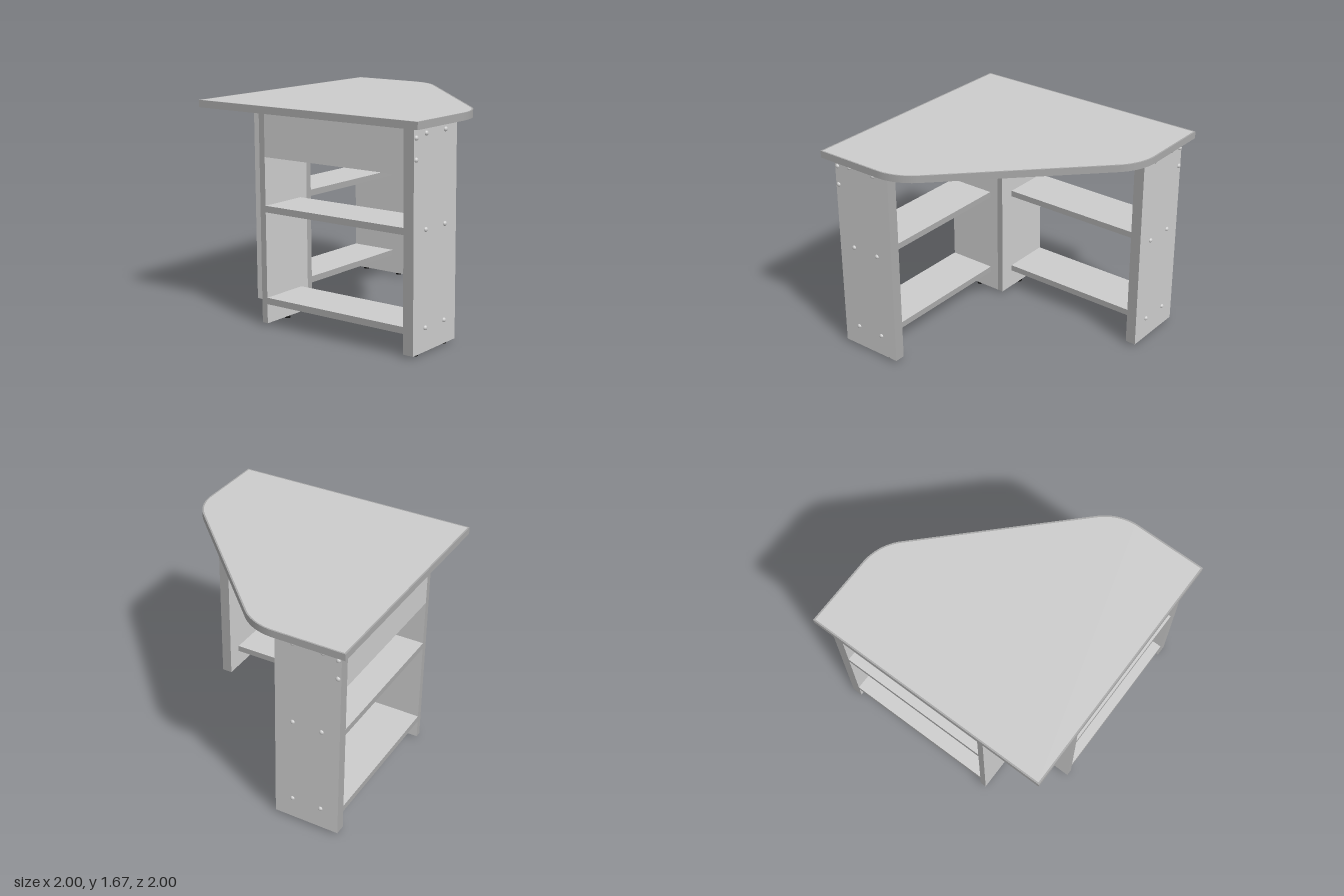
import * as THREE from 'three';

const face = new THREE.MeshStandardMaterial({ color: 0xcccccc });
const edge = new THREE.MeshStandardMaterial({ color: 0xa8a8a8 });
const rubber = new THREE.MeshStandardMaterial({ color: 0x111111 });

// Board from min/max corners; the faces across its thin axis are plain, the rest edge banding
function board(name, [x0, x1], [y0, y1], [z0, z1]) {
  const size = [x1 - x0, y1 - y0, z1 - z0];
  const thin = size.indexOf(Math.min(...size));
  const mats = [0, 0, 1, 1, 2, 2].map(axis => (axis === thin ? face : edge));
  const mesh = new THREE.Mesh(new THREE.BoxGeometry(...size), mats);
  mesh.position.set((x0 + x1) / 2, (y0 + y1) / 2, (z0 + z1) / 2);
  mesh.name = name;
  return mesh;
}

// Desktop outline: square back corner, diagonal front with two rounded ends
function outline(inset, Kind = THREE.Shape) {
  const s = new Kind(), e = 1 - inset, r = 0.42, c = 1 - r, d = -0.44;
  s.moveTo(-e, -e);
  s.lineTo(e, -e);
  s.lineTo(e, d);
  s.absarc(c, d, r - inset, 0, Math.PI / 4, false);
  s.absarc(d, c, r - inset, Math.PI / 4, Math.PI / 2, false);
  s.lineTo(-e, e);
  s.closePath();
  return s;
}

function slab(name, shape, mats) {
  const geo = new THREE.ExtrudeGeometry(shape, { depth: 0.055, bevelEnabled: false, curveSegments: 16 });
  geo.rotateX(Math.PI / 2);
  const mesh = new THREE.Mesh(geo, mats);
  mesh.position.y = 1.675;
  mesh.name = name;
  return mesh;
}

// One wing of the desk; swapped exchanges x and z for the other wing
function wing(name, swapped) {
  const g = new THREE.Group();
  g.name = name;
  const add = (part, a, y, b) => g.add(swapped ? board(part, b, y, a) : board(part, a, y, b));
  const depth = [-0.935, -0.41];

  add('endPanel', [0.84, 0.925], [0.02, 1.62], depth);
  // The two corner panels meet in an L
  add('cornerPanel', [-0.46, -0.41], [0.02, 1.62], [-0.935, swapped ? -0.46 : -0.41]);
  add('modestyPanel', [-0.41, 0.84], [1.29, 1.62], [-0.935, -0.885]);
  for (const y of [0.195, 0.9]) add('shelf', [-0.41, 0.84], [y - 0.025, y + 0.025], [-0.935, -0.535]);

  // Domed screw heads on the outer face of the end panel
  const heads = [[1.55, -0.91], [1.4, -0.91]];
  for (const y of [0.195, 0.9, 1.57]) for (const z of [-0.79, -0.555]) heads.push([y, z]);
  const dome = new THREE.SphereGeometry(0.018, 16, 6, 0, Math.PI * 2, 0, Math.PI / 2);
  for (const [y, b] of heads) {
    const m = new THREE.Mesh(dome, face);
    m.name = 'screwHead';
    m.scale.y = 0.85;
    if (swapped) { m.position.set(b, y, 0.925); m.rotation.x = Math.PI / 2; }
    else { m.position.set(0.925, y, b); m.rotation.z = -Math.PI / 2; }
    g.add(m);
  }

  // Feet
  const pad = new THREE.CylinderGeometry(0.022, 0.022, 0.02, 20);
  for (const [a, b] of [[0.883, -0.85], [0.883, -0.5], [-0.435, -0.675]]) {
    const m = new THREE.Mesh(pad, rubber);
    m.name = 'foot';
    m.position.set(swapped ? b : a, 0.01, swapped ? a : b);
    g.add(m);
  }
  return g;
}

export function createModel() {
  const model = new THREE.Group();
  model.name = 'cornerDesk';

  // Desktop with a thin edge band around it
  const band = outline(0);
  band.holes.push(outline(0.012, THREE.Path));
  model.add(slab('desktop', outline(0.012), face), slab('desktopEdgeBand', band, edge));

  model.add(wing('backWing', false), wing('sideWing', true));
  return model;
}
